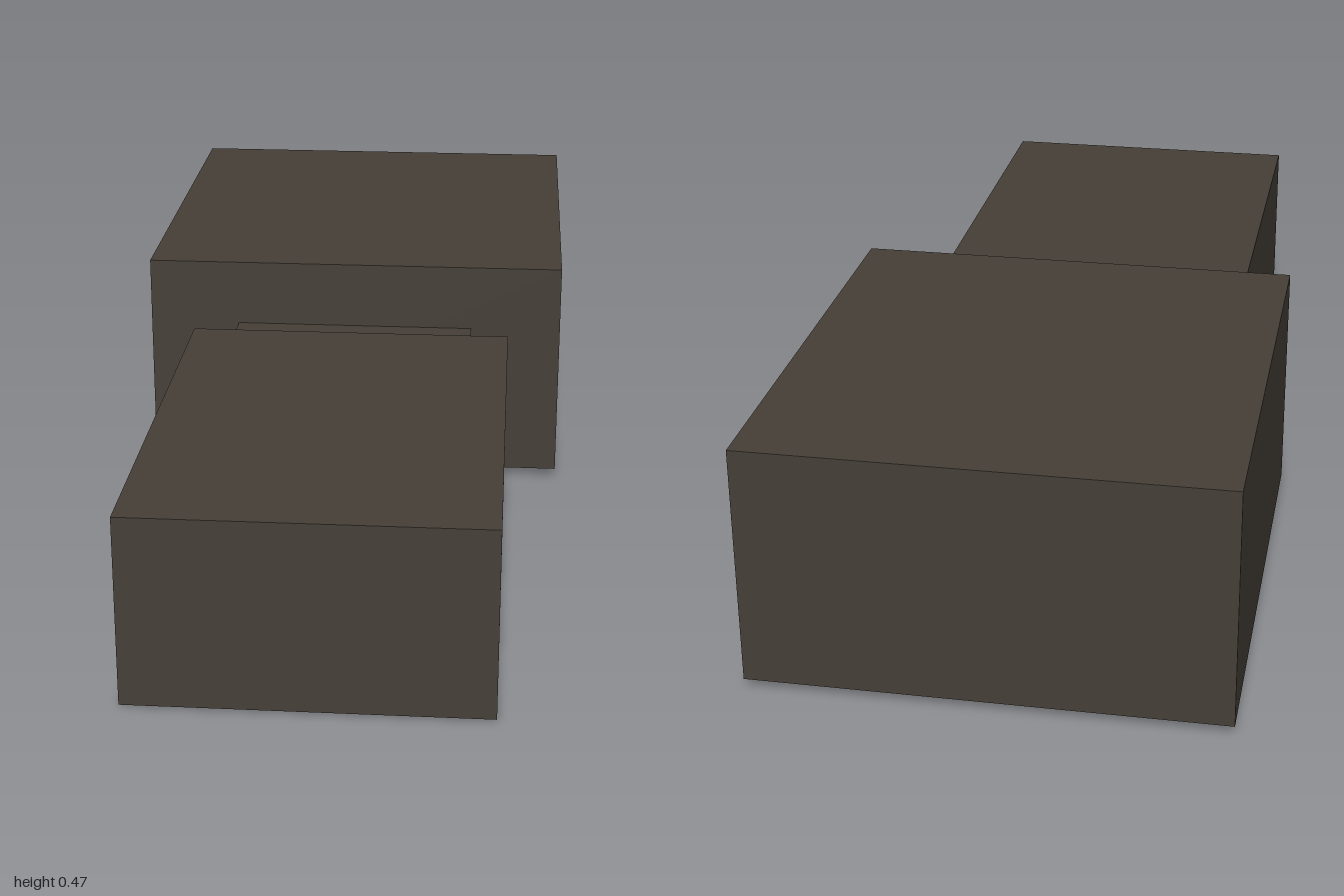
import * as THREE from 'three';

export function createModel() {
  const group = new THREE.Group();
  const wall = new THREE.MeshStandardMaterial({ color: 0x453f37 });
  wall.name = 'dark taupe';

  // Box given by its limits on each axis
  function block(name, [x0, x1], [y0, y1], [z0, z1]) {
    const mesh = new THREE.Mesh(new THREE.BoxGeometry(x1 - x0, y1 - y0, z1 - z0), wall);
    mesh.position.set((x0 + x1) / 2, (y0 + y1) / 2, (z0 + z1) / 2);
    mesh.name = name;
    group.add(mesh);
  }

  const W = 0.435, N = 0.248, T = 0.004;   // rear half width, neck half width, lip thickness
  const floor = 0.05, base = 0.018;

  // Main volumes
  block('frontBlock', [-0.326, 0.326], [0.005, 0.36], [0.055, 1]);
  block('rearBlock', [-W, W], [floor, 0.47], [-1, -0.06]);
  block('neck', [-N, N], [floor, 0.335], [-0.06, 0.055]);

  // Thin skirt around the recessed underside of the rear block
  block('rearSkirt', [-W, W], [base, floor], [-1, -1 + T]);
  for (const s of [-1, 1]) {
    const span = (a, b) => [Math.min(s * a, s * b), Math.max(s * a, s * b)];
    block('sideSkirt', span(W - T, W), [base, floor], [-1 + T, -0.06]);
    block('frontSkirt', span(N, W - T), [base, floor], [-0.06 - T, -0.06]);

    // Neck side lip, its lower edge sloping down to the front block
    const profile = new THREE.Shape([
      new THREE.Vector2(-0.055, 0), new THREE.Vector2(0.06, base),
      new THREE.Vector2(0.06, floor), new THREE.Vector2(-0.055, floor),
    ]);
    const geo = new THREE.ExtrudeGeometry(profile, { depth: T, bevelEnabled: false });
    geo.rotateY(Math.PI / 2);   // profile x runs towards -z, depth along +x
    const lip = new THREE.Mesh(geo, wall);
    lip.position.x = s > 0 ? N - T : -N;
    lip.name = 'neckLip';
    group.add(lip);
  }
  return group;
}
